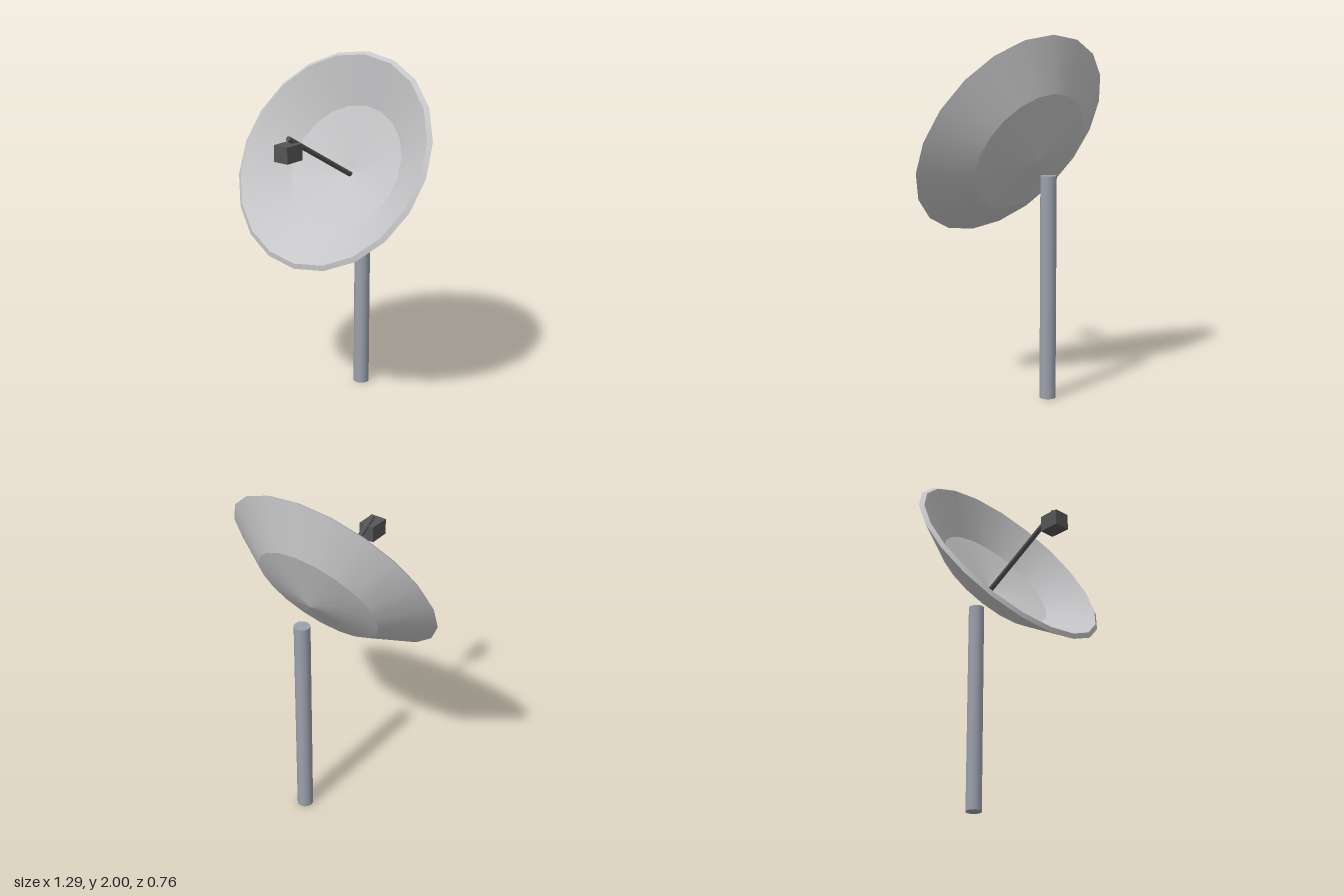
import * as THREE from 'three';
import { mergeGeometries } from 'three/addons/utils/BufferGeometryUtils.js';

const dishGrey = new THREE.MeshStandardMaterial({ name: 'dishGrey', color: 0xc6c6c8 });
const poleGrey = new THREE.MeshStandardMaterial({ name: 'poleGrey', color: 0x9ba1ad });
const darkGrey = new THREE.MeshStandardMaterial({ name: 'darkGrey', color: 0x555555 });

const TILT = Math.PI / 3; // turns +y into the dish axis, 30 degrees above +z

function addPart(group, name, geometry, material, x, y, z) {
  const mesh = new THREE.Mesh(geometry, material);
  mesh.name = name;
  mesh.position.set(x, y, z);
  group.add(mesh);
  return mesh;
}

export function createModel() {
  const group = new THREE.Group();
  group.name = 'satelliteDish';

  // Dish shell: [radius, height along axis] from outer apex, over the rim, to inner apex.
  // Each band is its own lathe so the rings stay creased.
  const profile = [
    [0, -0.243], [0.379, -0.167], [0.6455, 0],
    [0.62, 0.017], [0.371, -0.14], [0, -0.213],
  ].map(([r, h]) => new THREE.Vector2(r, h));
  const bands = [];
  for (let i = 0; i < profile.length - 1; i++) {
    bands.push(new THREE.LatheGeometry([profile[i], profile[i + 1]], 20));
  }
  const dish = addPart(group, 'dish', mergeGeometries(bands), dishGrey, 0, 1.44, -0.043);
  dish.rotation.x = TILT;

  // Feed arm, parallel to the dish axis
  const start = new THREE.Vector3(0, 1.308, -0.23);
  const end = new THREE.Vector3(0, 1.624, 0.318);
  const mid = start.clone().add(end).multiplyScalar(0.5);
  const armGeometry = new THREE.CylinderGeometry(0.015, 0.015, start.distanceTo(end), 8);
  const arm = addPart(group, 'feedArm', armGeometry, darkGrey, mid.x, mid.y, mid.z);
  arm.rotation.x = TILT;

  // Receiver box under the arm tip
  addPart(group, 'receiver', new THREE.BoxGeometry(0.093, 0.093, 0.122), darkGrey, 0, 1.548, 0.318);

  // Mast
  addPart(group, 'mast', new THREE.CylinderGeometry(0.046, 0.046, 1.24, 12), poleGrey, 0, 0.62, -0.331);

  return group;
}
